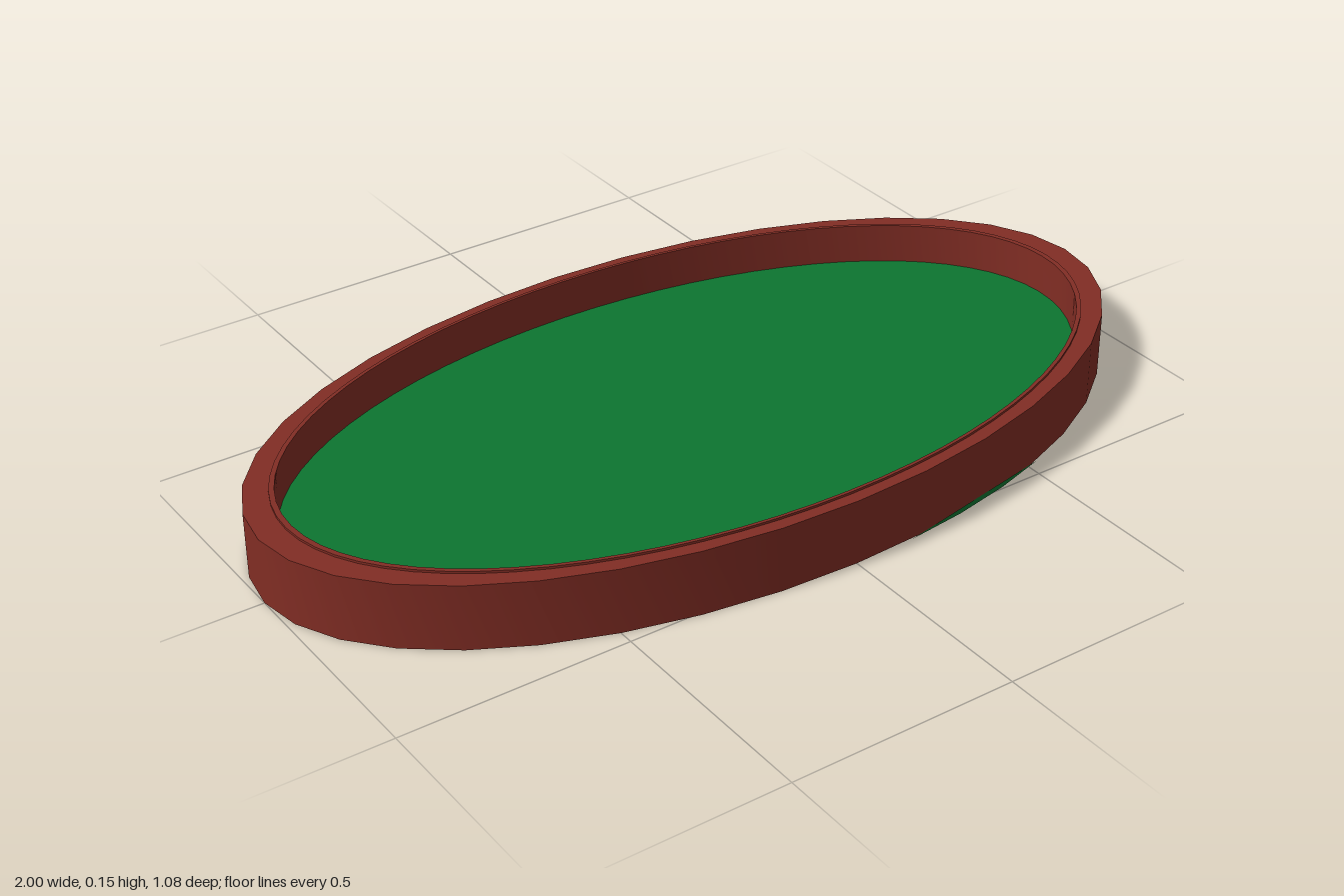
import * as THREE from 'three';
import { toCreasedNormals } from 'three/addons/utils/BufferGeometryUtils.js';

const wood = new THREE.MeshStandardMaterial({ color: 0x812d24 });
wood.name = 'redBrownWood';
const felt = new THREE.MeshStandardMaterial({ color: 0x0d7530, side: THREE.DoubleSide });
felt.name = 'greenFelt';

// Points around an ellipse
function ellipse(rx, rz, sides) {
  return Array.from({ length: sides }, (_, i) => {
    const a = (i / sides) * Math.PI * 2;
    return new THREE.Vector2(rx * Math.cos(a), rz * Math.sin(a));
  });
}

// Upright elliptical slab from y0 to y1, with an optional opening
function slab(name, material, outer, inner, y0, y1) {
  const shape = new THREE.Shape(outer);
  if (inner) shape.holes.push(new THREE.Path(inner));
  const geometry = new THREE.ExtrudeGeometry(shape, { depth: y1 - y0, bevelEnabled: false });
  geometry.rotateX(-Math.PI / 2).translate(0, y0, 0);
  const mesh = new THREE.Mesh(toCreasedNormals(geometry, 0.6), material);
  mesh.name = name;
  return mesh;
}

export function createModel() {
  const model = new THREE.Group();
  model.name = 'ovalTray';

  // Faceted outer frame, thin raised inner lip, and felt floor
  const opening = ellipse(0.93, 0.506, 72);
  model.add(slab('rim', wood, ellipse(1, 0.54, 36), opening, 0, 0.145));
  model.add(slab('innerLip', wood, ellipse(0.942, 0.513, 72), opening, 0.145, 0.15));
  model.add(slab('floor', felt, opening, null, 0, 0.06));

  // Slivers of felt showing under the rim, front and back
  const heights = [0, 0.012, 0.012, 0];
  const positions = [];
  heights.forEach((h, i) => {
    const a = THREE.MathUtils.degToRad(82 - i * 8);
    const x = 1.002 * Math.cos(a), z = 0.542 * Math.sin(a);
    positions.push(x, 0, z, x, h, z);
  });
  const sliver = new THREE.BufferGeometry();
  sliver.setAttribute('position', new THREE.Float32BufferAttribute(positions, 3));
  sliver.setIndex([0, 2, 3, 2, 4, 5, 2, 5, 3, 4, 6, 5]);
  sliver.computeVertexNormals();
  for (const turn of [0, Math.PI]) {
    const mesh = new THREE.Mesh(sliver, felt);
    mesh.name = turn ? 'backFeltEdge' : 'frontFeltEdge';
    mesh.rotation.y = turn;
    model.add(mesh);
  }
  return model;
}
